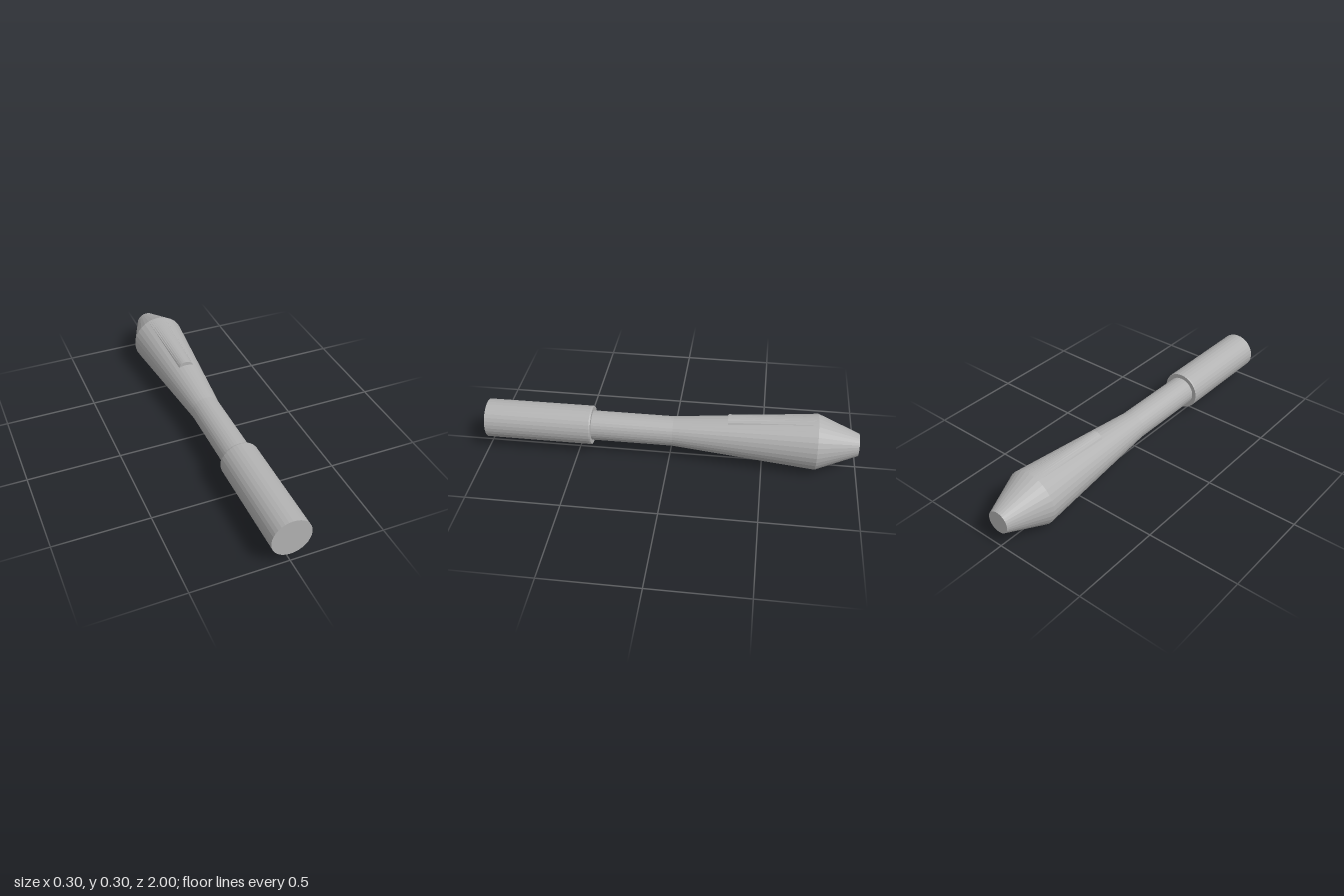
import * as THREE from 'three';

const AXIS_Y = 0.15;
const SIDES = 32;

export function createModel() {
  const group = new THREE.Group();
  const grey = new THREE.MeshStandardMaterial({ color: 0xb2b2b2, flatShading: true });
  grey.name = 'plain grey';

  // Turned part: profile of [radius, z] pairs, running from back to front
  const turned = (name, profile) => {
    const geo = new THREE.LatheGeometry(profile.map(([r, z]) => new THREE.Vector2(r, z)), SIDES);
    geo.rotateX(Math.PI / 2);
    const mesh = new THREE.Mesh(geo, grey);
    mesh.name = name;
    mesh.position.y = AXIS_Y;
    group.add(mesh);
  };

  turned('noseCone', [[0, -1], [0.06, -1], [0.149, -0.78]]);
  turned('flaredBody', [[0.149, -0.78], [0.08, -0.02]]);
  turned('shaft', [[0.08, -0.02], [0.08, 0.42]]);
  turned('grip', [[0.08, 0.42], [0.103, 0.42], [0.105, 0.428], [0.104, 1], [0, 1]]);

  // Ridge on top of the body: a small arc that widens until it meets the flare
  const steps = 10;
  const arc = (cy, r, half, z) => Array.from({ length: steps + 1 }, (_, i) => {
    const a = half * (1 - (2 * i) / steps);
    return new THREE.Vector3(Math.sin(a) * r, cy + Math.cos(a) * r, z);
  });
  const front = arc(0.232, 0.045, 1.2, -0.31);
  const back = arc(AXIS_Y, 0.149, 0.4, -0.78);
  const base = new THREE.Vector3(0, 0.235, -0.31);
  const corners = [];
  for (let i = 0; i < steps; i++) {
    corners.push(front[i], back[i], back[i + 1], front[i], back[i + 1], front[i + 1]);
    corners.push(base, front[i], front[i + 1]);
  }
  const ridgeGeo = new THREE.BufferGeometry().setFromPoints(corners);
  ridgeGeo.computeVertexNormals();
  const ridge = new THREE.Mesh(ridgeGeo, grey);
  ridge.name = 'topRidge';
  group.add(ridge);

  return group;
}
